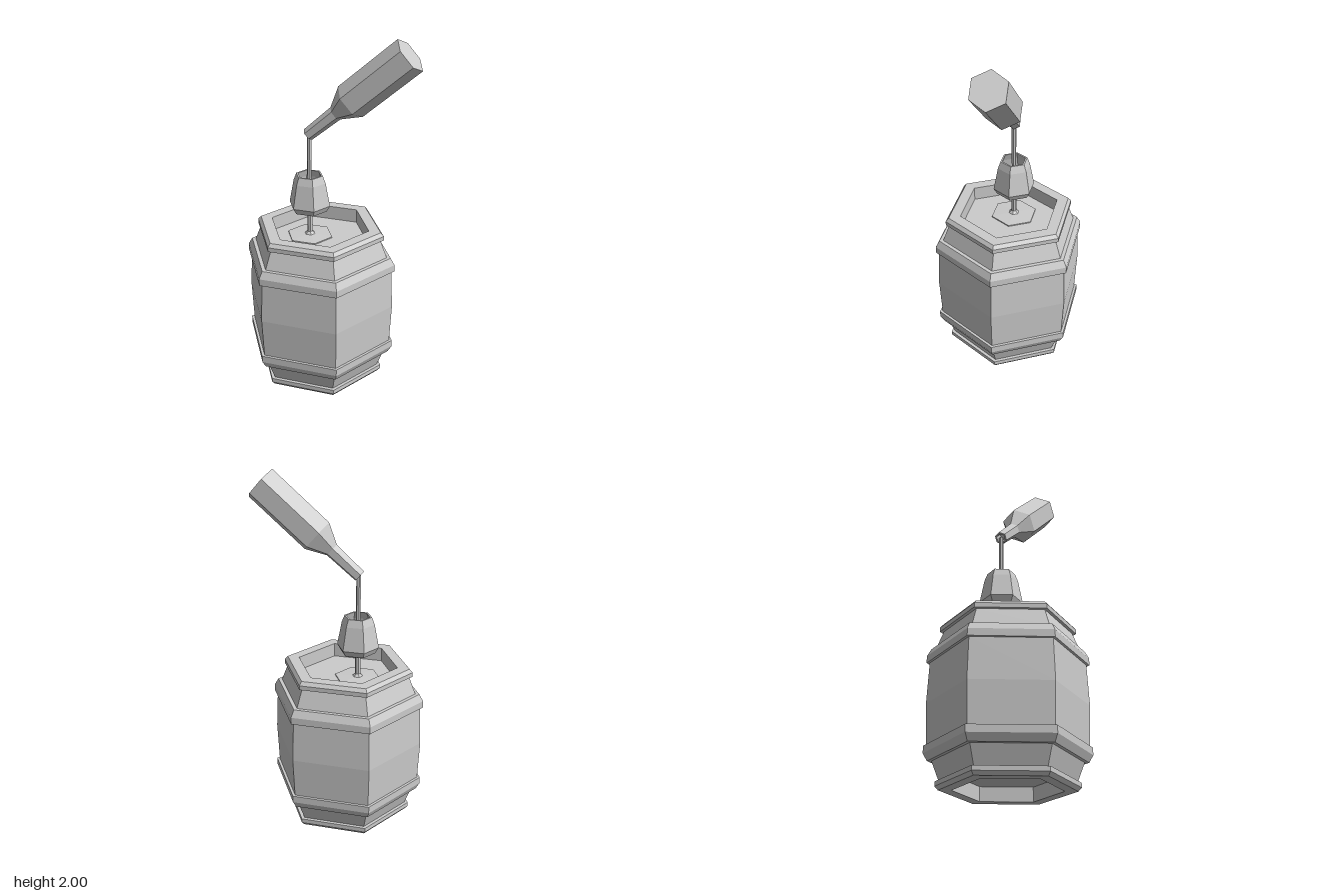
import * as THREE from 'three';

const material = new THREE.MeshStandardMaterial({ color: 0xcccccc, flatShading: true });

// Six-sided turned part; the profile of [radius, y] runs from the bottom, up the outside, to the top.
function turned(name, profile, sides = 6) {
  const points = profile.map(([r, y]) => new THREE.Vector2(r, y));
  const mesh = new THREE.Mesh(new THREE.LatheGeometry(points, sides), material);
  mesh.name = name;
  return mesh;
}

export function createModel() {
  const model = new THREE.Group();
  model.name = 'barrelWithBottleAndGlass';

  // Barrel: upper half profile, mirrored about its middle for the lower half
  const middle = 0.46;
  const upper = [
    [0.435, 0.46], [0.424, 0.69],
    [0.441, 0.69], [0.441, 0.73], [0.418, 0.77], [0.395, 0.77], // wide hoop
    [0.354, 0.875],
    [0.375, 0.875], [0.375, 0.9], [0.357, 0.92], // end hoop
    [0.288, 0.92], [0.288, 0.84], [0, 0.84], // rim and sunken lid
  ];
  const lower = upper.slice(1).reverse().map(([r, y]) => [r, 2 * middle - y]);
  const barrel = turned('barrel', [...lower, ...upper]);
  barrel.position.x = -0.06;
  model.add(barrel);

  // Glass standing on the lid
  const glass = new THREE.Group();
  glass.name = 'glass';
  glass.position.set(-0.108, 0, -0.041);
  glass.add(turned('glassFoot', [
    [0, 0.838], [0.132, 0.838], [0.132, 0.846], [0.03, 0.851], [0.015, 0.865], [0, 0.865],
  ]));
  glass.add(turned('glassStem', [[0.015, 0.85], [0.015, 0.98]]));
  glass.add(turned('glassBowl', [
    [0.015, 0.965], [0.04, 0.975], [0.1, 1.0], [0.12, 1.035], [0.094, 1.17], [0.078, 1.212],
    [0.068, 1.212], [0.084, 1.17], [0.108, 1.035], [0.06, 1.01], [0, 1.0],
  ]));
  // Stream falling from the bottle into the glass
  glass.add(turned('pouredStream', [[0, 1.0], [0.013, 1.0], [0.013, 1.45], [0, 1.45]]));
  model.add(glass);

  // Tilted bottle, built from its mouth to its base
  const bottle = turned('bottle', [
    [0, 0.06], [0.026, 0.06], [0.026, 0], [0.036, 0], [0.042, 0.205],
    [0.103, 0.315], [0.103, 0.725], [0, 0.725],
  ]);
  const axis = new THREE.Vector3(0.477, 0.477, 0.265).normalize();
  const side = new THREE.Vector3(0.071, -0.037, -0.061);
  side.addScaledVector(axis, -side.dot(axis)).normalize();
  const across = new THREE.Vector3().crossVectors(axis, side);
  bottle.quaternion.setFromRotationMatrix(new THREE.Matrix4().makeBasis(across, axis, side));
  bottle.position.set(-0.112, 1.445, -0.045);
  model.add(bottle);

  return model;
}
